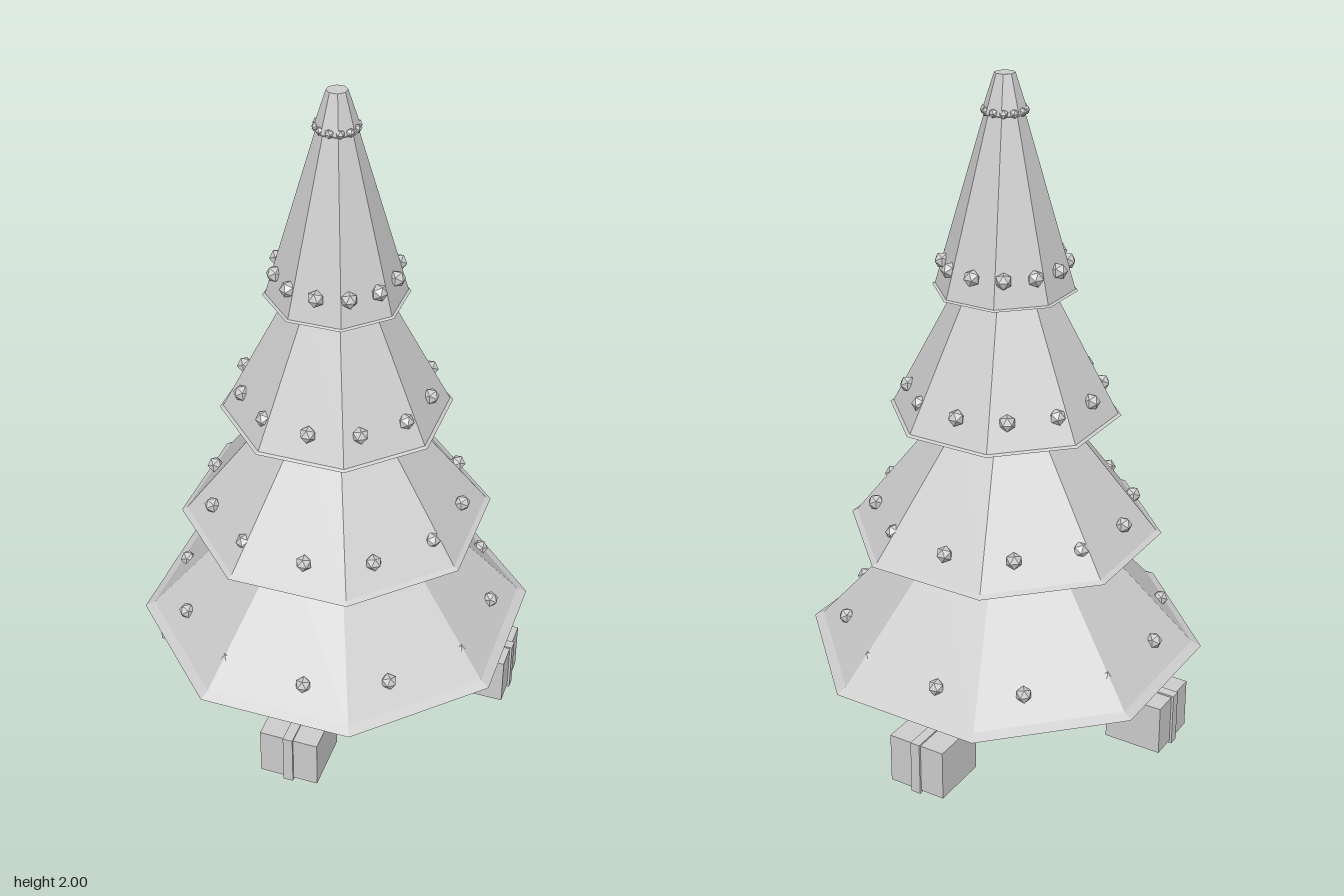
import * as THREE from 'three';

const V = (x, y) => new THREE.Vector2(x, y);

export function createModel() {
  const tree = new THREE.Group();
  tree.name = 'decoratedTree';
  const grey = new THREE.MeshStandardMaterial({ color: 0xcccccc, flatShading: true });
  grey.name = 'plainGrey';

  const add = (parent, name, geometry, x = 0, y = 0, z = 0) => {
    const mesh = new THREE.Mesh(geometry, grey);
    mesh.name = name;
    mesh.position.set(x, y, z);
    parent.add(mesh);
    return mesh;
  };

  // Hexagonal trunk
  add(tree, 'trunk', new THREE.CylinderGeometry(0.077, 0.077, 0.23, 6), 0, 0.125, 0);

  // Octagonal foliage tiers with a flared lip, and a ring of baubles on each
  const tiers = [
    { y0: 0.235, y1: 0.63, r0: 0.613, r1: 0.24, lip: 0.03, beadY: 0.32, beadR: 0.492, bead: 0.025 },
    { y0: 0.62, y1: 1.01, r0: 0.477, r1: 0.16, lip: 0.016, beadY: 0.7, beadR: 0.39, bead: 0.025 },
    { y0: 1.0, y1: 1.39, r0: 0.346, r1: 0.135, lip: 0.01, beadY: 1.08, beadR: 0.285, bead: 0.025 },
    { y0: 1.38, y1: 1.9, r0: 0.212, r1: 0.054, lip: 0.008, beadY: 1.46, beadR: 0.178, bead: 0.025 },
    { y0: 1.89, y1: 2.0, r0: 0.068, r1: 0.03, lip: 0.003, beadY: 1.897, beadR: 0.056, bead: 0.014 },
  ];
  tiers.forEach((t, i) => {
    const profile = [
      V(0, t.y0), V(t.r0, t.y0), V(t.r0 - t.lip, t.y0 + t.lip * 0.5), V(t.r1, t.y1), V(0, t.y1),
    ];
    add(tree, `foliageTier${i + 1}`, new THREE.LatheGeometry(profile, 8));

    const baubles = new THREE.Group();
    baubles.name = `baubleRing${i + 1}`;
    const ball = new THREE.IcosahedronGeometry(t.bead, 0);
    for (let k = 0; k < 12; k++) {
      const a = THREE.MathUtils.degToRad(30 * k - 2.5 * i);
      add(baubles, 'bauble', ball, t.beadR * Math.cos(a), t.beadY, -t.beadR * Math.sin(a))
        .rotation.y = a;
    }
    tree.add(baubles);
  });

  // Four gift boxes with a raised ribbon band, a quarter turn apart
  for (let k = 0; k < 4; k++) {
    const quarter = new THREE.Group();
    quarter.name = `giftPlace${k + 1}`;
    quarter.rotation.y = k * Math.PI / 2;
    const gift = new THREE.Group();
    gift.name = 'gift';
    gift.position.set(0.225, 0, 0.425);
    gift.rotation.y = Math.PI / 8;
    add(gift, 'giftBox', new THREE.BoxGeometry(0.18, 0.155, 0.18), 0, 0.0855, 0);
    add(gift, 'giftRibbon', new THREE.BoxGeometry(0.03, 0.168, 0.194), 0, 0.084, 0);
    quarter.add(gift);
    tree.add(quarter);
  }

  return tree;
}
